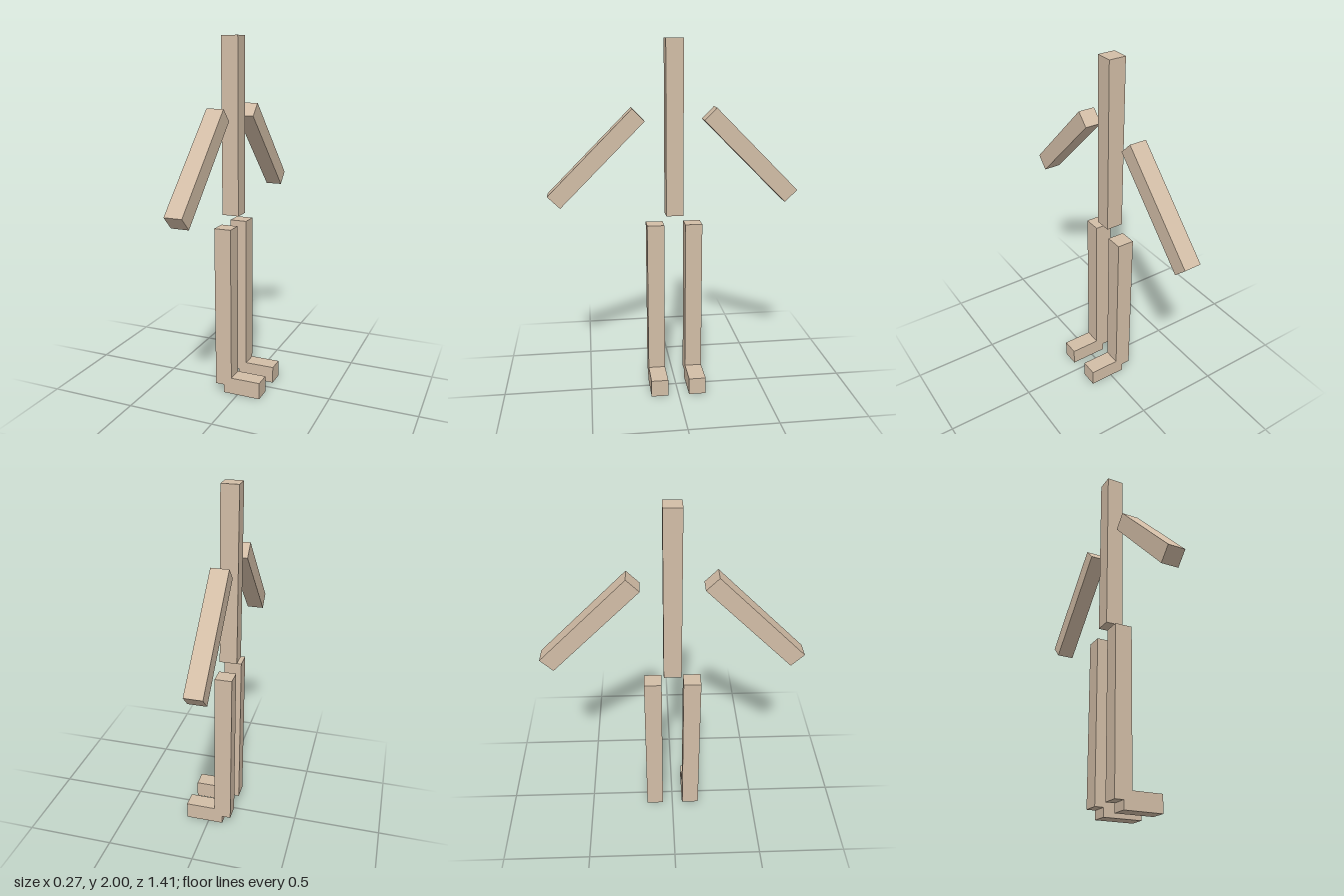
import * as THREE from 'three';

export function createModel() {
  const model = new THREE.Group();
  model.name = 'stickFigure';
  const wood = new THREE.MeshStandardMaterial({ color: 0xd2bda6 });
  wood.name = 'pale wood';

  const T = 0.097; // thickness of every limb
  const X = -0.086; // shared centre plane of body and limbs

  function beam(name, w, h, x, y, z, tilt = 0) {
    const mesh = new THREE.Mesh(new THREE.BoxGeometry(w, h, T), wood);
    mesh.name = name;
    mesh.position.set(x, y, z);
    mesh.rotation.x = tilt;
    model.add(mesh);
  }

  // Upright body
  beam('torso', T, 0.973, X, 1.5135, 0);

  // Mirrored limbs on either side in z
  for (const s of [1, -1]) {
    const side = s > 0 ? 'front' : 'back';
    beam(side + 'Arm', T, 0.668, X, 1.36, s * 0.435, -s * Math.PI / 4);
    beam(side + 'Leg', T, 0.925, X, 0.511, s * 0.109);
    beam(side + 'Foot', 0.219, T, 0.0245, T / 2, s * 0.109);
  }
  return model;
}
